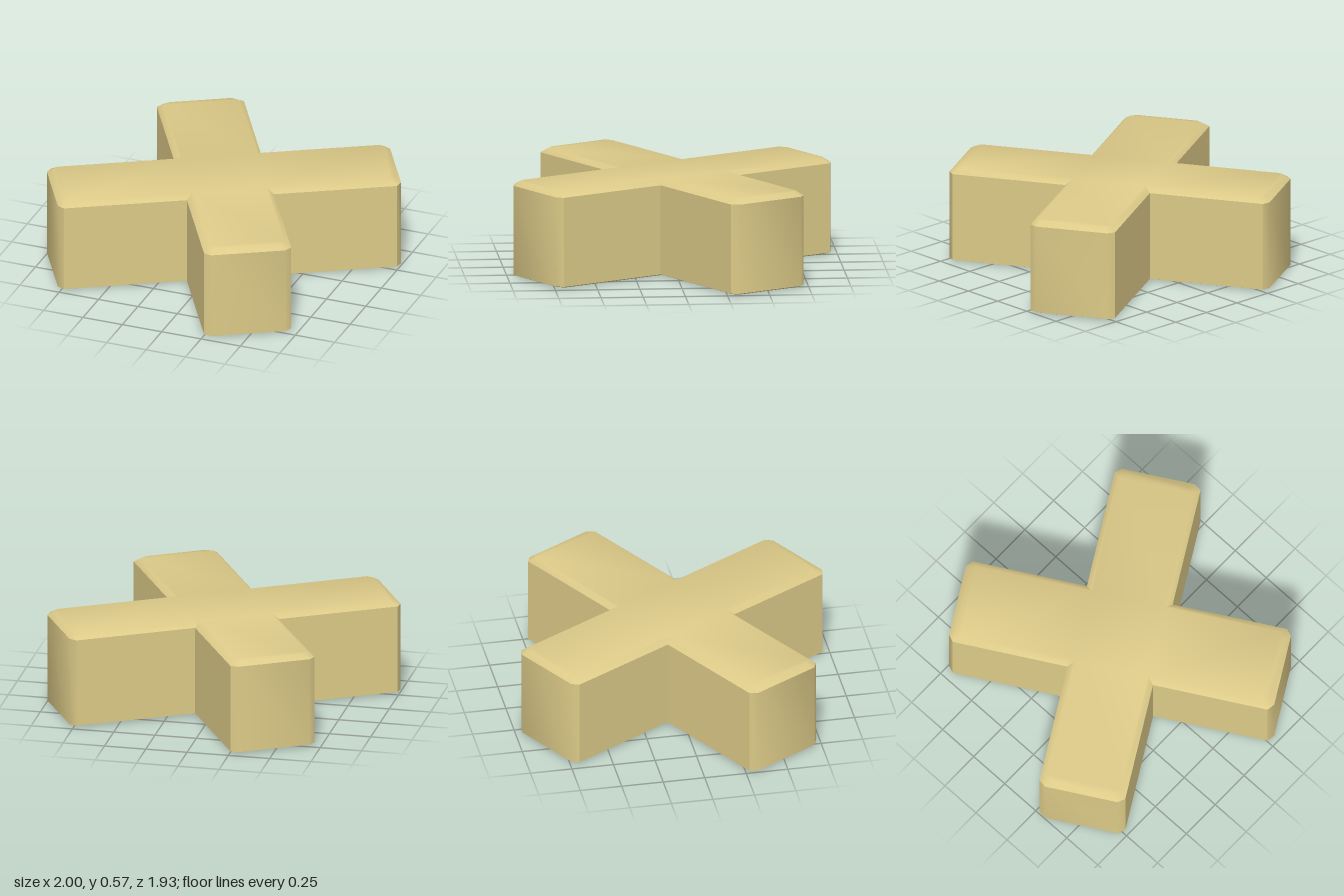
import * as THREE from 'three';
import { toCreasedNormals } from 'three/addons/utils/BufferGeometryUtils.js';

const HALF_WIDTH = 0.26;
const ARM_LENGTHS = [1.025, 0.985]; // long and short pair
const TURN = Math.PI / 6;

// Cross-shaped outline with chamfered tips: five points per arm
function outline(inset, y) {
  const w = HALF_WIDTH - inset;
  const points = [];
  for (let k = 0; k < 4; k++) {
    const l = ARM_LENGTHS[k % 2] - inset;
    const arm = [[w, -w], [l - 0.031, -w], [l, -w + 0.04], [l, w - 0.04], [l - 0.031, w]];
    const a = k * Math.PI / 2 - TURN;
    for (const [u, v] of arm) {
      points.push([
        u * Math.cos(a) - v * Math.sin(a), y,
        u * Math.sin(a) + v * Math.cos(a),
      ]);
    }
  }
  return points;
}

function crossGeometry() {
  // Bottom bevel, straight wall, top bevel
  const rings = [outline(0.03, 0), outline(0, 0.011), outline(0, 0.547), outline(0.035, 0.575)];
  const positions = [];
  const quad = (a, b, c, d) => positions.push(...a, ...b, ...c, ...a, ...c, ...d);

  for (let r = 0; r < 3; r++) {
    const low = rings[r], high = rings[r + 1];
    low.forEach((p, i) => {
      const j = (i + 1) % low.length;
      quad(p, high[i], high[j], low[j]);
    });
  }

  // Flat caps: a centre square, then each arm and its tapered tip
  const cap = (ring, up) => {
    const face = (...ids) => {
      const c = ids.map((i) => ring[i % ring.length]);
      quad(...(up ? c.reverse() : c));
    };
    face(0, 5, 10, 15);
    for (let i = 0; i < 20; i += 5) {
      face(i, i + 1, i + 4, i + 5);
      face(i + 1, i + 2, i + 3, i + 4);
    }
  };
  cap(rings[0], false);
  cap(rings[3], true);

  const geometry = new THREE.BufferGeometry();
  geometry.setAttribute('position', new THREE.Float32BufferAttribute(positions, 3));
  return toCreasedNormals(geometry, THREE.MathUtils.degToRad(50));
}

export function createModel() {
  const sand = new THREE.MeshStandardMaterial({ color: 0xdcca88 });
  sand.name = 'sand';
  const cross = new THREE.Mesh(crossGeometry(), sand);
  cross.name = 'crossBlock';
  const model = new THREE.Group();
  model.name = 'crossShapedBlock';
  model.add(cross);
  return model;
}
